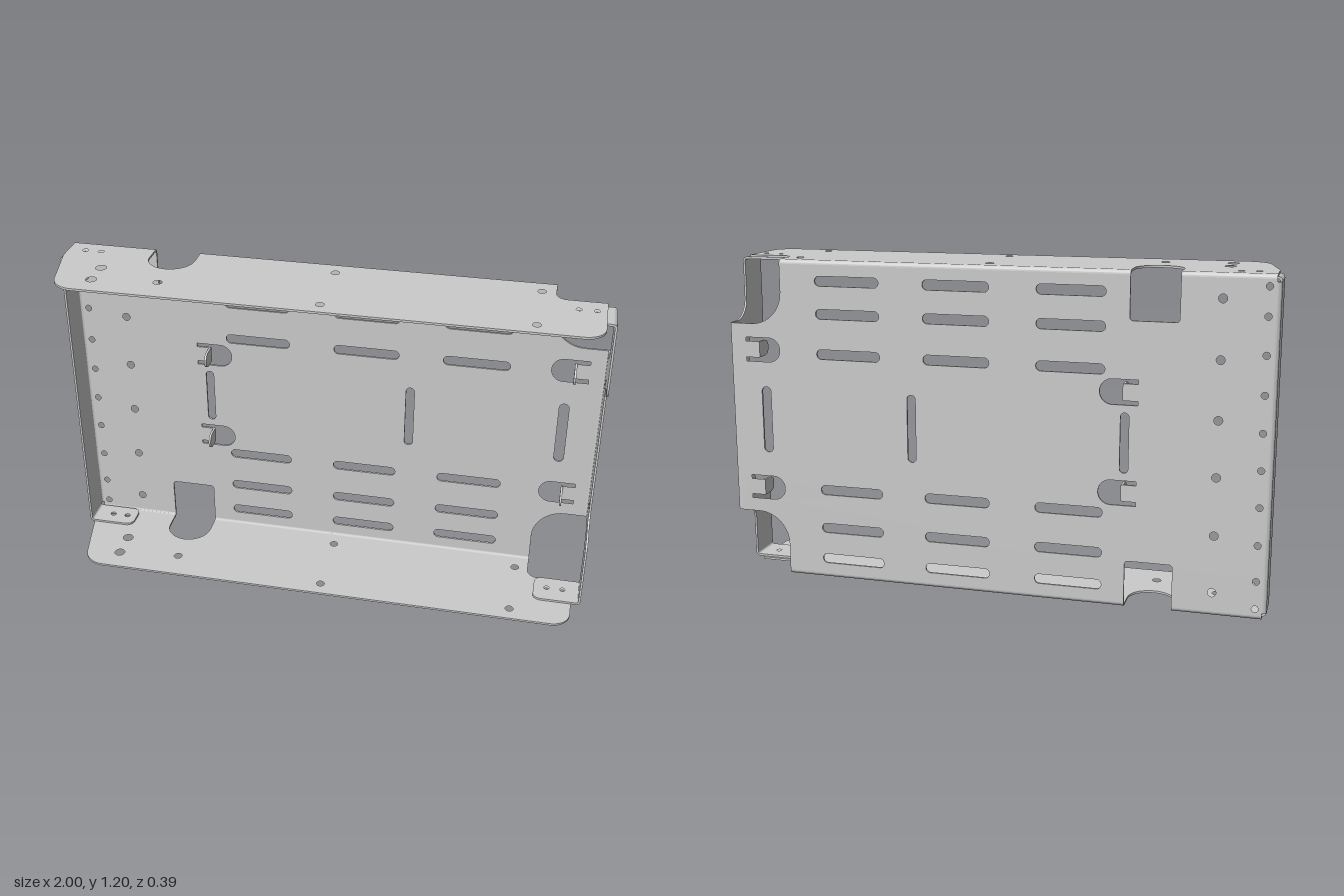
import * as THREE from 'three';
import { toCreasedNormals } from 'three/addons/utils/BufferGeometryUtils.js';

const H = 1.2;      // height
const D = 0.196;    // half depth
const T = 0.008;    // sheet thickness
const R = 0.016;    // outer bend radius
const TAB_Y = H - T - 0.001; // top of the tabs tucked under the flange
const V = (x, y, z) => new THREE.Vector3(x, y, z);

// closed path through [x, y, cornerRadius] points
function outline(points, Type = THREE.Shape) {
  const path = new Type();
  const n = points.length;
  points.forEach(([x, y, r = 0], i) => {
    const p = new THREE.Vector2(x, y);
    const toward = (q, d) => p.clone().add(new THREE.Vector2(q[0] - x, q[1] - y).setLength(d));
    const prev = points[(i + n - 1) % n], next = points[(i + 1) % n];
    const a = toward(prev, r), b = toward(next, r);
    if (i === 0) path.moveTo(a.x, a.y); else path.lineTo(a.x, a.y);
    if (r > 0) {
      const c = toward(prev, r * 0.448), d = toward(next, r * 0.448);
      path.bezierCurveTo(c.x, c.y, d.x, d.y, b.x, b.y);
    }
  });
  path.closePath();
  return path;
}

const hole = (x, y, r) => new THREE.Path().absarc(x, y, r, 0, Math.PI * 2, true);

function slot(x, y, w, h) {
  const r = Math.min(w, h) / 2 - 0.0005;
  const a = w / 2, b = h / 2;
  return outline([[x - a, y - b, r], [x + a, y - b, r], [x + a, y + b, r], [x - a, y + b, r]], THREE.Path);
}

// D-shaped opening with relief slits around a bent hook; s is the side of the round end
function hookOpening(x, y, s) {
  return outline([[-0.05, -0.045], [0.085, -0.045, 0.044], [0.085, 0.045, 0.044], [-0.05, 0.045],
    [-0.05, 0.03], [0, 0.03], [0, -0.03], [-0.05, -0.03]].map(([u, v, r]) => [x + s * u, y + v, r]), THREE.Path);
}

export function createModel() {
  const group = new THREE.Group();
  const material = new THREE.MeshStandardMaterial({ color: 0xcccccc });

  function add(name, geometry) {
    const mesh = new THREE.Mesh(toCreasedNormals(geometry, 0.5), material);
    mesh.name = name;
    group.add(mesh);
  }
  const sheet = (shape) => new THREE.ExtrudeGeometry(shape, { depth: T, bevelEnabled: false, curveSegments: 10 });
  // sheets drawn in (x, z) with their top at y, and in (z, y) with their outer face at x
  const level = (shape, y) => sheet(shape).rotateX(Math.PI / 2).translate(0, y, 0);
  const upright = (shape, x) => sheet(shape).rotateY(-Math.PI / 2).translate(x, 0, 0);

  // quarter-round bend joining two sheets whose outer faces point along u and v
  function bend(name, centre, u, v, length) {
    const ring = new THREE.Shape();
    ring.absarc(0, 0, R, 0, Math.PI / 2, false);
    ring.absarc(0, 0, R - T, Math.PI / 2, 0, true);
    const g = new THREE.ExtrudeGeometry(ring, { depth: length, bevelEnabled: false, curveSegments: 6 });
    g.translate(0, 0, -length / 2);
    g.applyMatrix4(new THREE.Matrix4().makeBasis(u, v, u.clone().cross(v)).setPosition(centre));
    add(name, g);
  }

  // back plate, symmetric top to bottom
  const upper = [[-1 + R, H - R], [-0.67, H - R], [-0.67, 1.028, 0.012], [-0.5, 1.028, 0.012],
    [-0.5, H - R], [0.79, H - R], [0.79, 0.96, 0.12], [1 - R, 0.96]];
  const lower = upper.map(([x, y, r]) => [x, H - y, r]).reverse();
  const back = outline([...upper, ...lower]);
  for (const flip of [false, true]) {
    const m = (y) => (flip ? H - y : y);
    for (const y of [0.075, 0.195, 0.343])
      for (const x of [-0.295, 0.12, 0.53]) back.holes.push(slot(x, m(y), 0.245, 0.036));
    for (const y of [0.04, 0.14, 0.27, 0.405, 0.535]) back.holes.push(hole(-0.96, m(y), 0.012));
    for (const y of [0.085, 0.292, 0.5]) back.holes.push(hole(-0.81, m(y), 0.015));
    back.holes.push(hookOpening(-0.485, m(0.42), 1), hookOpening(0.885, m(0.336), -1));
  }
  back.holes.push(slot(-0.49, 0.6, 0.03, 0.215), slot(0.29, 0.6, 0.032, 0.25), slot(0.86, 0.6, 0.036, 0.25));
  add('backPlate', sheet(back).translate(0, 0, -D));

  // hooks bent forward out of the back plate
  for (const [x, y] of [[-0.481, 0.42], [-0.481, 0.78], [0.889, 0.336], [0.889, 0.864]]) {
    const z = -D, e = -0.122;
    add('hook', upright(outline([[z, y - 0.029], [e, y - 0.029, 0.028], [e, y + 0.029, 0.028], [z, y + 0.029]]), x));
  }

  // top and bottom flanges with their bends
  const flange = outline([[-0.984, -D + R], [-0.984, -0.07], [-0.925, D, 0.07], [0.965, D, 0.07],
    [0.965, -0.07], [0.79, -0.07, 0.04], [0.79, -D + R], [-0.5, -D + R], [-0.5, -0.028, 0.085],
    [-0.67, -0.028, 0.085], [-0.67, -D + R]]);
  const leftHoles = [[-0.92, -0.125, 0.011], [-0.86, -0.125, 0.011]];
  const rightHoles = [[0.87, -0.003, 0.01], [0.93, -0.003, 0.01]];
  for (const h of [[-0.81, 0.01, 0.02], [-0.81, 0.11, 0.02], [-0.575, 0.085, 0.016], [0.015, -0.12, 0.015],
    [0.015, 0.14, 0.015], [0.74, -0.118, 0.015], [0.74, 0.14, 0.015], ...leftHoles, ...rightHoles])
    flange.holes.push(hole(...h));

  // tabs folded in from the side flanges
  const z0 = -D + R + 0.002;
  const innerTab = outline([[-1 + R, z0], [-0.82, z0, 0.03], [-0.82, -0.07, 0.03], [-1 + R, -0.07]]);
  const outerTab = outline([[1 - R, -0.063], [0.82, -0.063, 0.03], [0.82, 0.067, 0.03], [1 - R, 0.067]]);
  innerTab.holes = leftHoles.map((h) => hole(...h));
  outerTab.holes = rightHoles.map((h) => hole(...h));

  for (const top of [true, false]) {
    const m = (y) => (top ? y : H - y);
    const up = V(0, top ? 1 : -1, 0);
    const word = top ? 'top' : 'bottom';
    add(word + 'Flange', level(flange, top ? H : T));
    for (const [a, b] of [[-0.984, -0.67], [-0.5, 0.79]])
      bend(word + 'Bend', V((a + b) / 2, m(H - R), -D + R), up, V(0, 0, -1), b - a);
    const tabTop = top ? TAB_Y : H - TAB_Y + T;
    add(word + 'LeftEndTab', level(innerTab, tabTop));
    add(word + 'RightEndTab', level(outerTab, tabTop));
    bend('tabBend', V(-1 + R, m(TAB_Y - R), (z0 - 0.07) / 2), up, V(-1, 0, 0), -0.07 - z0);
    bend('tabBend', V(1 - R, m(TAB_Y - R), 0.002), up, V(1, 0, 0), 0.13);
  }

  // narrow side flange at -x
  const yEnd = TAB_Y - R;
  add('narrowSideFlange', upright(outline([[-D + R, H - yEnd], [-0.07, H - yEnd], [-0.07, yEnd], [-D + R, yEnd]]), -1 + T));
  bend('narrowSideBend', V(-1 + R, H / 2, -D + R), V(-1, 0, 0), V(0, 0, -1), 2 * yEnd - H);

  // stepped side flange at +x
  const half = [[-D + R, 0.96], [-0.063, 0.96, 0.08], [-0.063, yEnd], [0.067, yEnd],
    [0.067, 0.9, 0.045], [-0.063, 0.9, 0.055]];
  const side = outline([...half, ...half.map(([z, y, r]) => [z, H - y, r]).reverse()]);
  side.holes.push(hole(-0.123, 0.862, 0.019), hole(-0.123, H - 0.862, 0.019));
  add('steppedSideFlange', upright(side, 1));
  bend('steppedSideBend', V(1 - R, H / 2, -D + R), V(1, 0, 0), V(0, 0, -1), 0.72);

  return group;
}
